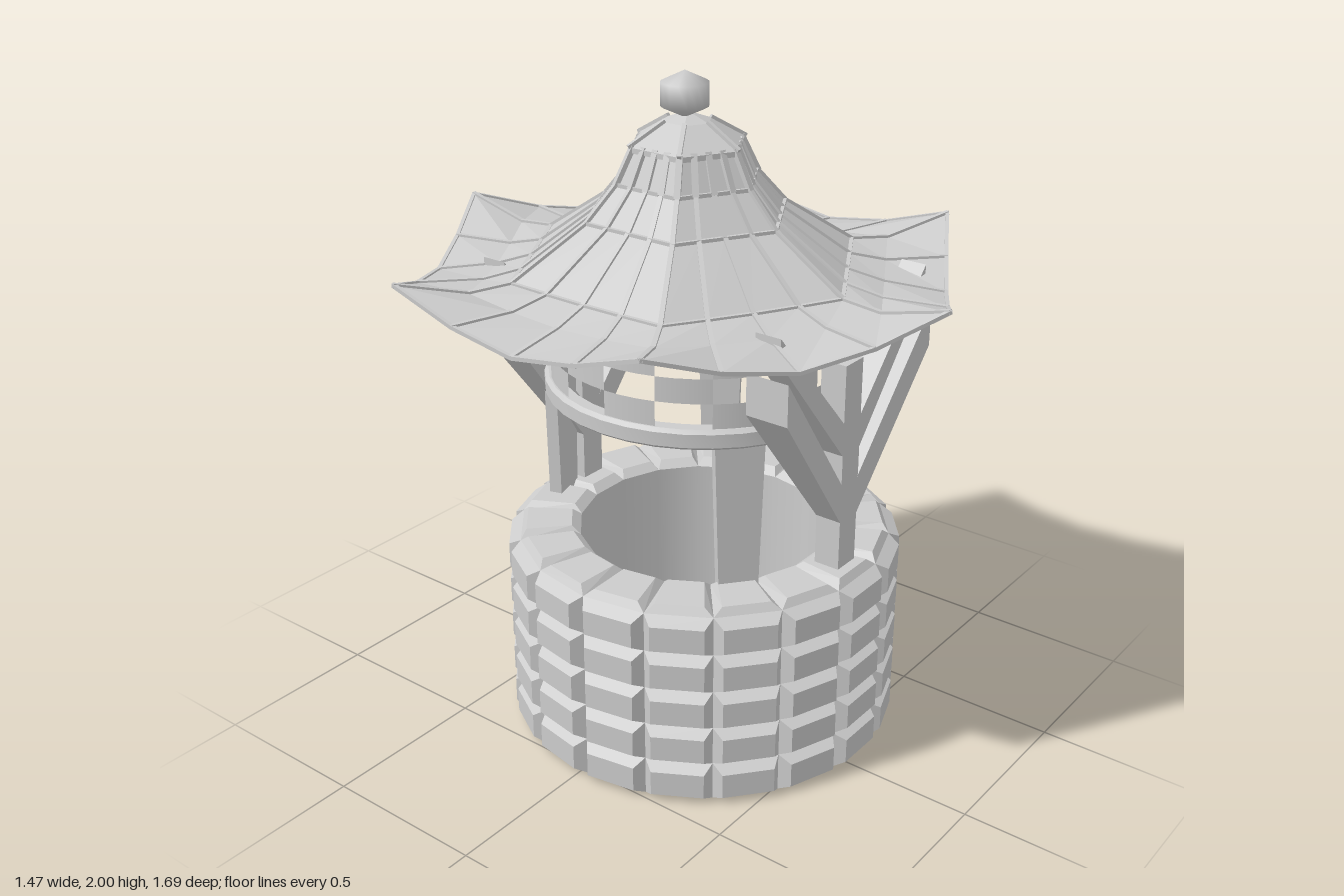
import * as THREE from 'three';
import { toCreasedNormals } from 'three/addons/utils/BufferGeometryUtils.js';

const flat = new THREE.MeshStandardMaterial({ color: 0xcccccc, flatShading: true, side: THREE.DoubleSide });
const smooth = new THREE.MeshStandardMaterial({ color: 0xcccccc, side: THREE.DoubleSide });
const STEP = Math.PI / 9; // 18 divisions round the well
const polar = (r, a, y) => new THREE.Vector3(r * Math.sin(a), y, r * Math.cos(a));

function add(parent, name, geometry, material = flat) {
  const mesh = new THREE.Mesh(geometry, material);
  mesh.name = name;
  parent.add(mesh);
  return mesh;
}

function group(parent, name, x = 0, y = 0, z = 0) {
  const g = new THREE.Group();
  g.name = name;
  g.position.set(x, y, z);
  parent.add(g);
  return g;
}

// Geometry from a list of quads, each with four corners anticlockwise
function quads(list) {
  const g = new THREE.BufferGeometry();
  g.setFromPoints(list.flatMap(([a, b, c, d]) => [a, b, c, a, c, d]));
  g.computeVertexNormals();
  return g;
}

// Raised block: base outline plus an inset face, joined by bevels
const pillow = (base, face) => [face, ...base.map((p, i) => {
  const j = (i + 1) % 4;
  return [p, base[j], face[j], face[i]];
})];

// Thin square bar between two points
function bar(parent, name, a, b, w, h = w) {
  const mesh = add(parent, name, new THREE.BoxGeometry(w, h, a.distanceTo(b) + w * 0.4));
  mesh.position.copy(a).lerp(b, 0.5);
  mesh.lookAt(b);
  return mesh;
}

// Well wall: five courses of bevelled bricks and a ring of cap stones
function buildWell(root) {
  const well = group(root, 'well', 0.05, 0, 0.023);
  const rowH = 0.121, inner = 0.38, groove = 0.562, outer = 0.595;
  const bricks = [], caps = [];
  for (let k = 0; k < 18; k++) {
    const a0 = (k + 0.5) * STEP, a1 = a0 + STEP, e = 0.045;
    for (let row = 0; row < 5; row++) {
      const y0 = row * rowH, y1 = y0 + rowH, b = 0.022;
      const rect = (r, p, q, lo, hi) => [polar(r, p, lo), polar(r, q, lo), polar(r, q, hi), polar(r, p, hi)];
      bricks.push(...pillow(rect(groove, a0, a1, y0, y1), rect(outer, a0 + e, a1 - e, y0 + b, y1 - b)));
    }
    const top = (ri, ro, p, q, y) => [polar(ro, p, y), polar(ro, q, y), polar(ri, q, y), polar(ri, p, y)];
    caps.push(...pillow(top(inner, groove, a0, a1, 5 * rowH), top(inner + 0.025, groove - 0.02, a0 + e, a1 - e, 0.628)));
  }
  add(well, 'bricks', quads(bricks));
  add(well, 'capStones', quads(caps));
  const shaft = add(well, 'shaft', new THREE.CylinderGeometry(inner, inner, 5 * rowH, 18, 1, true, STEP / 2), smooth);
  shaft.position.y = 2.5 * rowH;
  const base = add(well, 'base', new THREE.RingGeometry(inner, groove, 18, 1, STEP / 2));
  base.rotation.x = Math.PI / 2;
}

// Forked post: upright with two pairs of slanted braces
function buildForkedPost(root, name, z) {
  const post = group(root, name, 0.06, 0, z);
  add(post, 'upright', new THREE.BoxGeometry(0.085, 0.66, 0.08)).position.y = 0.93;
  const arms = [
    { name: 'lowerBrace', from: [0.77, 0.89], to: [1.2, 1.32], flare: 0.65 },
    { name: 'upperBrace', from: [0.98, 1.08], to: [1.37, 1.44], flare: 0 },
  ];
  for (const side of [-1, 1]) for (const arm of arms) {
    const x0 = 0.035, x1 = 0.36;
    const shape = new THREE.Shape([
      [x0, arm.from[0]], [x1, arm.to[0]], [x1, arm.to[1]], [x0, arm.from[1]],
    ].map(([x, y]) => new THREE.Vector2(side * x, y)));
    const g = new THREE.ExtrudeGeometry(shape, { depth: 0.08, bevelEnabled: false }).translate(0, 0, -0.04);
    const p = g.attributes.position;
    for (let i = 0; i < p.count; i++) { // thicken towards the outer end
      const t = (Math.abs(p.getX(i)) - x0) / (x1 - x0);
      p.setZ(i, p.getZ(i) * (1 + arm.flare * t));
    }
    g.computeVertexNormals();
    add(post, arm.name, g);
  }
}

// Flat tapered boards that carry the lattice ring
function buildBoards(root) {
  for (const [x, z] of [[-0.2, 0.33], [0.365, 0.33], [0.465, -0.225], [-0.06, -0.45]]) {
    const g = new THREE.BoxGeometry(0.145, 0.49, 0.04);
    const p = g.attributes.position;
    for (let i = 0; i < p.count; i++) if (p.getY(i) < 0) p.setX(i, p.getX(i) * 0.8);
    g.computeVertexNormals();
    const board = add(root, 'supportBoard', g);
    board.position.set(x, 0.855, z);
    board.rotation.y = Math.atan2(x - 0.07, z);
  }
}

// Two round rails with a chequered lattice between them
function buildRing(root) {
  const ring = group(root, 'latticeRing', 0.08, 0, 0);
  const profile = [[0.425, -0.03], [0.46, -0.03], [0.472, -0.02], [0.472, 0.02], [0.46, 0.03], [0.425, 0.03], [0.425, -0.03]]
    .map(([r, y]) => new THREE.Vector2(r, y));
  for (const y of [1.08, 1.36]) {
    add(ring, 'rail', toCreasedNormals(new THREE.LatheGeometry(profile, 36), 0.5), smooth).position.y = y;
  }
  const h = 0.22 / 3;
  for (let row = 0; row < 3; row++) for (let k = 0; k < 18; k++) {
    if ((k + row) % 2 === 0) continue;
    const cell = new THREE.CylinderGeometry(0.455, 0.455, h, 3, 1, true, (k + 0.5) * STEP, STEP);
    add(ring, 'latticePanel', cell, smooth).position.y = 1.11 + (row + 0.5) * h;
  }
}

// Hexagonal roof: 24 points per loop, eaves rising to the corners
function buildRoof(root) {
  const roof = group(root, 'roof');
  // corner radius, height at mid side, extra height at the corner
  const levels = [[0.84, 1.395, 0.1], [0.64, 1.42, 0.025], [0.52, 1.452, 0.004], [0.3, 1.6, 0], [0.21, 1.7, 0], [0.16, 1.8, 0]];
  const loops = levels.map(([r, y, lift]) => Array.from({ length: 24 }, (_, i) => {
    const s = Math.floor(i / 4), t = (i % 4) / 4, u = Math.abs(t - 0.5) * 2;
    const p = polar(r, s * Math.PI / 3, 0).lerp(polar(r, (s + 1) * Math.PI / 3, 0), t);
    p.y = y + lift * Math.pow(u, 1.6);
    return p;
  }));
  const faces = [];
  for (let l = 0; l < loops.length - 1; l++) for (let i = 0; i < 24; i++) {
    const j = (i + 1) % 24, a = loops[l], b = loops[l + 1];
    faces.push([a[i], a[j], b[j], b[i]]);
    bar(roof, 'rib', a[i], b[i], l === 4 ? 0.018 : 0.013);
    if (l !== 1) bar(roof, 'trim', a[i], a[j], 0.011);
  }
  add(roof, 'shell', quads(faces));

  // Cap and finial
  const capProfile = [[0.172, 1.785], [0.172, 1.8], [0.07, 1.86], [0, 1.885]].map(([r, y]) => new THREE.Vector2(r, y));
  add(roof, 'cap', new THREE.LatheGeometry(capProfile, 6));
  for (let i = 0; i < 6; i++) {
    const a = i * Math.PI / 3;
    bar(roof, 'capRib', polar(0.172, a, 1.802), polar(0.07, a, 1.862), 0.012);
  }
  const finial = add(roof, 'finial', new THREE.SphereGeometry(0.078, 16, 3), smooth);
  finial.scale.y = 0.065 / 0.078;
  finial.position.set(-0.014, 1.935, 0);
}

export function createModel() {
  const root = new THREE.Group();
  root.name = 'roofedWell';
  buildWell(root);
  buildForkedPost(root, 'frontPost', 0.49);
  buildForkedPost(root, 'backPost', -0.47);
  buildBoards(root);
  buildRing(root);
  buildRoof(root);
  return root;
}
